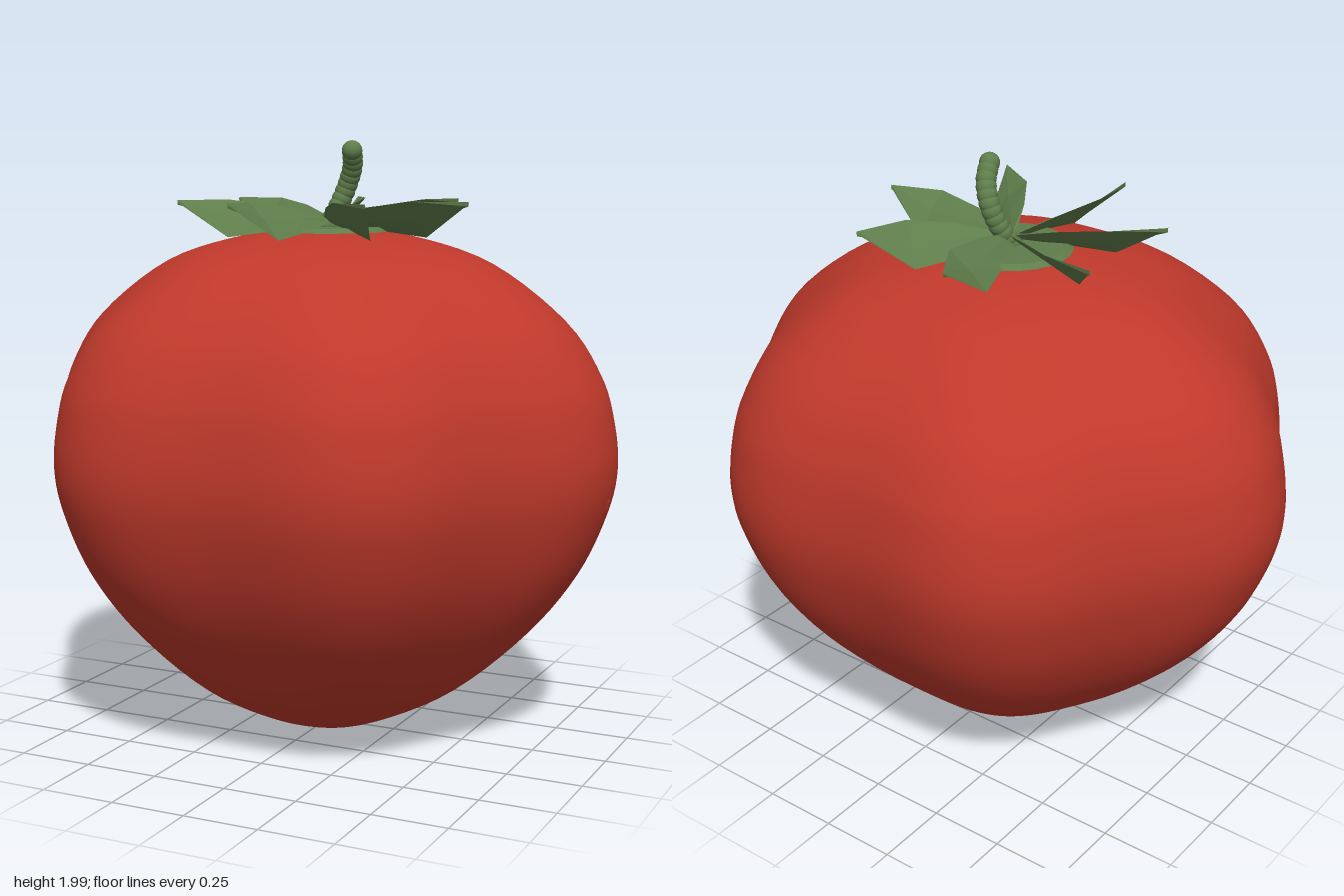
import * as THREE from 'three';
import { mergeVertices } from 'three/addons/utils/BufferGeometryUtils.js';

const red = new THREE.MeshStandardMaterial({ color: 0xc0392b });
red.name = 'tomato red';
const green = new THREE.MeshStandardMaterial({ color: 0x5f7d4b });
green.name = 'leaf green';

function add(parent, name, geometry, material) {
  const mesh = new THREE.Mesh(geometry, material);
  mesh.name = name;
  parent.add(mesh);
  return mesh;
}

// Lathed fruit with six soft lobes that fade towards the poles, slightly narrower in depth
function fruitGeometry() {
  const profile = [
    [0, 0.006], [0.12, 0.015], [0.25, 0.05], [0.48, 0.175], [0.72, 0.39], [0.88, 0.6], [0.97, 0.8],
    [1, 0.95], [0.985, 1.1], [0.94, 1.24], [0.82, 1.41], [0.57, 1.59], [0.3, 1.675], [0.12, 1.695], [0, 1.697],
  ].map(([r, y]) => new THREE.Vector2(r, y));
  const points = new THREE.SplineCurve(profile).getPoints(70);
  points.forEach((p) => { p.x = Math.max(0, p.x); });
  let geometry = new THREE.LatheGeometry(points, 120);
  geometry.deleteAttribute('uv');
  geometry.deleteAttribute('normal');
  const pos = geometry.attributes.position;
  for (let i = 0; i < pos.count; i++) {
    const x = pos.getX(i), z = pos.getZ(i);
    const lobe = 1 - 0.043 * Math.hypot(x, z) * (1 - Math.cos(6 * Math.atan2(z, x)));
    pos.setXYZ(i, x * lobe, pos.getY(i), z * lobe * 0.945);
  }
  geometry = mergeVertices(geometry, 1e-5);
  geometry.computeVertexNormals();
  return geometry;
}

// Tilted sepal blade along +x: each section is high edge, upper middle, low edge, under middle
function sepalGeometry() {
  const sections = [ // distance, half width, high edge y, middle y, low edge y
    [0.01, 0.015, 1.74, 1.735, 1.72],
    [0.17, 0.047, 1.775, 1.737, 1.695],
    [0.33, 0.062, 1.795, 1.74, 1.675],
    [0.5, 0.002, 1.795, 1.792, 1.788],
  ];
  const vertices = [], index = [];
  sections.forEach(([x, w, high, middle, low], s) => {
    vertices.push(x, high, w, x, middle + 0.004, 0, x, low, -w, x, middle - 0.012, 0);
    if (s === 0) return;
    for (let k = 0; k < 4; k++) {
      const a = (s - 1) * 4 + k, b = (s - 1) * 4 + (k + 1) % 4;
      index.push(a, a + 4, b, b, a + 4, b + 4);
    }
  });
  const e = (sections.length - 1) * 4;
  index.push(0, 1, 2, 0, 2, 3, e, e + 2, e + 1, e, e + 3, e + 2);
  const geometry = new THREE.BufferGeometry();
  geometry.setAttribute('position', new THREE.Float32BufferAttribute(vertices, 3));
  geometry.setIndex(index);
  const flat = geometry.toNonIndexed();
  flat.computeVertexNormals();
  return flat;
}

export function createModel() {
  const model = new THREE.Group();
  model.name = 'tomato';

  add(model, 'fruit', fruitGeometry(), red);

  // Tiny blemish on the left lobe
  const blemish = add(model, 'blemish', new THREE.OctahedronGeometry(0.03), red);
  blemish.scale.x = 0.3;
  blemish.position.set(0.982, 0.86, 0);

  // Blossom end under the fruit
  const blossomEnd = add(model, 'blossomEnd', new THREE.CylinderGeometry(0.06, 0.055, 0.008, 16), green);
  blossomEnd.position.y = 0.004;

  // Calyx: thin collar with seven sepals
  const calyx = new THREE.Group();
  calyx.name = 'calyx';
  model.add(calyx);
  const collar = add(calyx, 'collar', new THREE.CylinderGeometry(0.18, 0.2, 0.015, 24), green);
  collar.position.y = 1.7;
  const sepal = sepalGeometry();
  for (let i = 0; i < 7; i++) {
    add(calyx, 'sepal', sepal, green).rotation.y = (i * Math.PI * 2) / 7;
  }

  // Ribbed stem: overlapping beads along a bent path
  const stem = new THREE.Group();
  stem.name = 'stem';
  model.add(stem);
  const path = new THREE.CatmullRomCurve3([
    [0, 1.71, 0], [0.015, 1.76, -0.035], [0.045, 1.84, -0.055], [0.075, 1.91, -0.035], [0.09, 1.957, 0.003],
  ].map((p) => new THREE.Vector3(...p)));
  const bead = new THREE.SphereGeometry(0.034, 16, 12);
  const beads = 12;
  for (let i = 0; i < beads; i++) {
    add(stem, 'stemBead', bead, green).position.copy(path.getPointAt(i / (beads - 1)));
  }

  return model;
}
